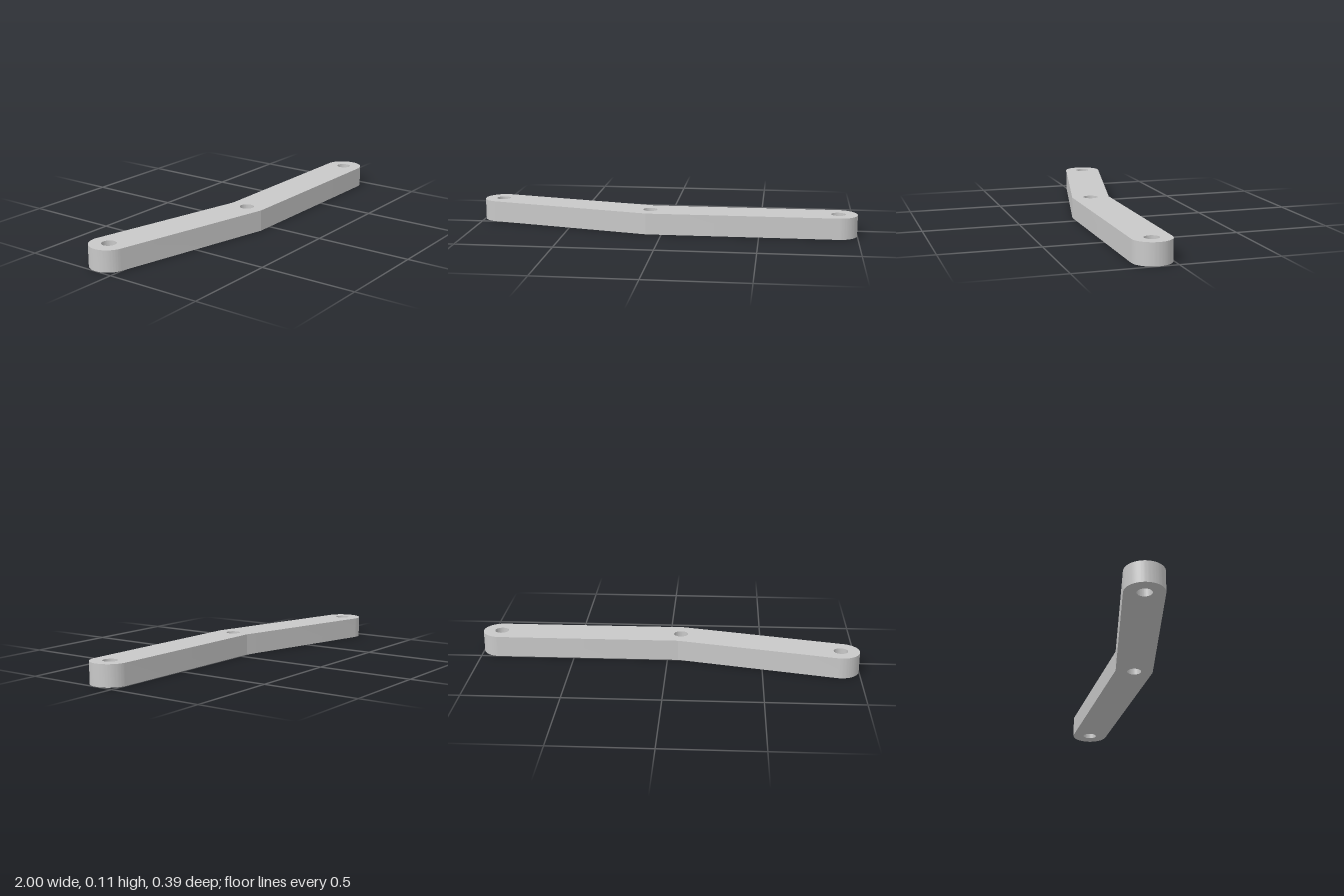
import * as THREE from 'three';
import { toCreasedNormals } from 'three/addons/utils/BufferGeometryUtils.js';

export function createModel() {
  const model = new THREE.Group();
  model.name = 'bentLinkBar';
  const greyMetal = new THREE.MeshStandardMaterial({ color: 0xc8c8c8 });
  greyMetal.name = 'greyMetal';

  // Plan dimensions; shape y becomes -z once laid flat
  const radius = 0.098, holeRadius = 0.037, thickness = 0.11;
  const left = new THREE.Vector2(-0.902, 0.096);
  const bend = new THREE.Vector2(-0.068, -0.096);
  const right = new THREE.Vector2(0.902, -0.096);

  // Mitred corner offset at the bend
  const tilt = Math.atan2(left.y - bend.y, bend.x - left.x);
  const up = Math.PI / 2;
  const reach = radius / Math.cos(tilt / 2);
  const cx = reach * Math.cos(up - tilt / 2), cy = reach * Math.sin(up - tilt / 2);

  // Outline: two straight arms with rounded ends
  const outline = new THREE.Shape();
  outline.moveTo(bend.x - cx, bend.y - cy);
  outline.lineTo(right.x, right.y - radius);
  outline.absarc(right.x, right.y, radius, -up, up, false);
  outline.lineTo(bend.x + cx, bend.y + cy);
  outline.absarc(left.x, left.y, radius, up - tilt, 3 * up - tilt, false);
  outline.closePath();

  // Pivot holes at both ends and the bend
  for (const p of [left, bend, right]) {
    const hole = new THREE.Path();
    hole.absarc(p.x, p.y, holeRadius, 0, Math.PI * 2, true);
    outline.holes.push(hole);
  }

  // Solid bar, smooth round walls with a crisp bend
  const flat = new THREE.ExtrudeGeometry(outline, {
    depth: thickness, bevelEnabled: false, curveSegments: 24,
  });
  flat.rotateX(-Math.PI / 2);
  const bar = new THREE.Mesh(toCreasedNormals(flat, 0.16), greyMetal);
  bar.name = 'bar';
  model.add(bar);
  return model;
}
